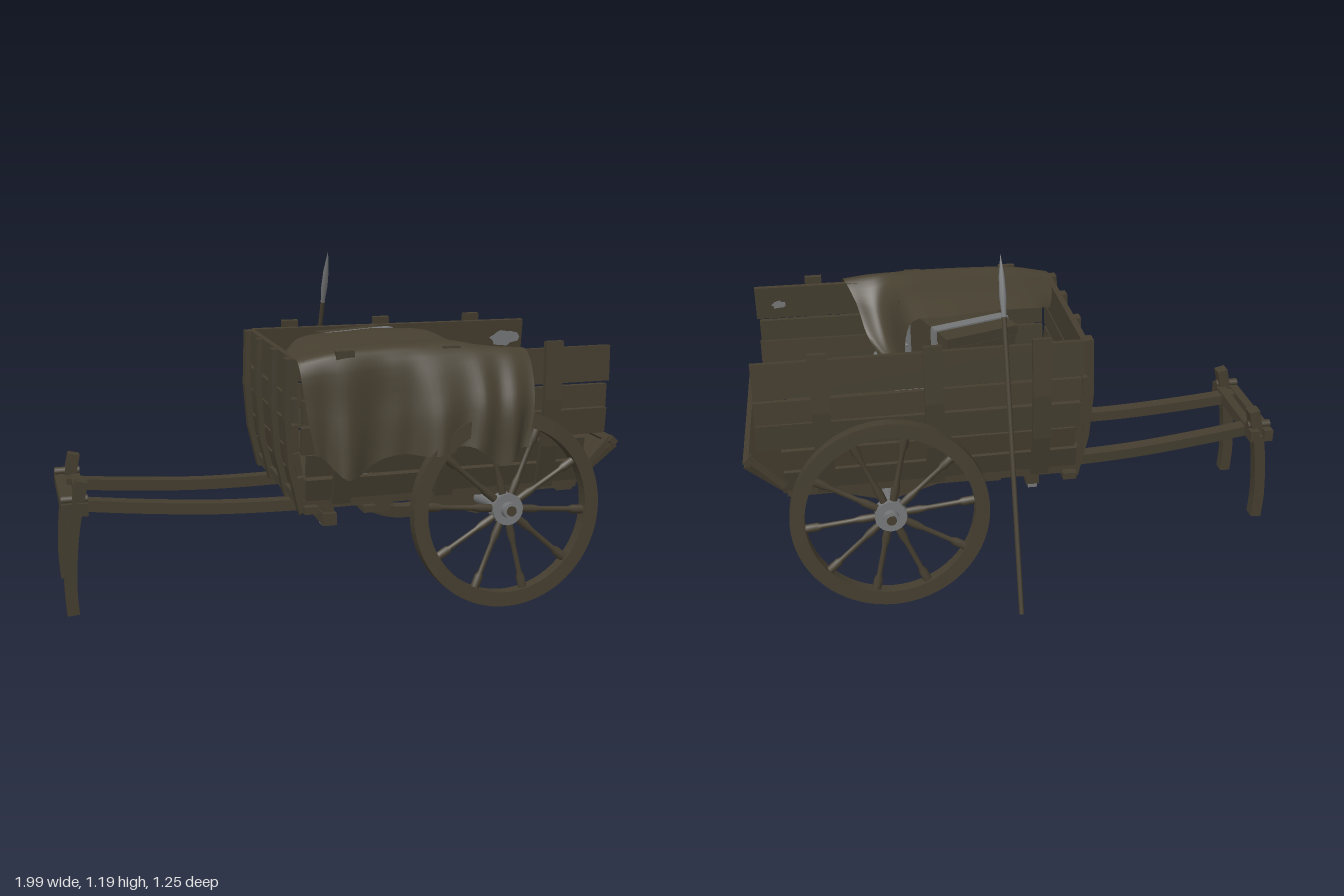
import * as THREE from 'three';

const mat = (name, color, side = THREE.FrontSide) => {
  const m = new THREE.MeshStandardMaterial({ color, side });
  m.name = name;
  return m;
};

export function createModel() {
  const wood = mat('weathered wood', 0x443d2f);
  const iron = mat('grey iron', 0x747576);
  const canvas = mat('canvas', 0x474031, THREE.DoubleSide);
  const cart = new THREE.Group();
  cart.name = 'cart';
  const MID = 0.07; // centre line of the cart body in z

  let seed = 7;
  const jitter = (a) => {
    seed = (seed * 16807) % 2147483647;
    return (seed / 2147483647 - 0.5) * 2 * a;
  };
  const add = (parent, name, geo, material, x = 0, y = 0, z = 0) => {
    const m = new THREE.Mesh(geo, material);
    m.name = name;
    m.position.set(x, y, z);
    parent.add(m);
    return m;
  };
  const box = (parent, name, w, h, d, x, y, z, material = wood) =>
    add(parent, name, new THREE.BoxGeometry(w, h, d), material, x, y, z);
  const group = (name, parent = cart) => {
    const g = new THREE.Group();
    g.name = name;
    parent.add(g);
    return g;
  };

  // Bent timber: a strip of even thickness along a path in xy, extruded in z
  const bentBar = (path, thick, depth) => {
    const pts = path.map((p) => new THREE.Vector2(...p));
    const side = (s) => pts.map((p, i) => {
      const t = pts[Math.min(i + 1, pts.length - 1)].clone().sub(pts[Math.max(i - 1, 0)]).normalize();
      return new THREE.Vector2(p.x - t.y * s, p.y + t.x * s);
    });
    const shape = new THREE.Shape([...side(thick / 2), ...side(-thick / 2).reverse()]);
    return new THREE.ExtrudeGeometry(shape, { depth, bevelEnabled: false }).translate(0, 0, -depth / 2);
  };
  const smoothPath = (path, n) =>
    new THREE.SplineCurve(path.map((p) => new THREE.Vector2(...p))).getPoints(n).map((p) => [p.x, p.y]);

  // Floor boards running across the body, with one open gap near the tail
  const floor = group('floor');
  const edges = [-0.2, -0.055, 0.09, 0.235, 0.38, 0.525, 0.665];
  for (let i = 0; i < 6; i++)
    box(floor, 'floorBoard', edges[i + 1] - edges[i], 0.025, 0.66 + jitter(0.01), (edges[i] + edges[i + 1]) / 2, 0.385 + jitter(0.003), MID);
  box(floor, 'floorBoard', 0.2, 0.025, 0.66, 0.775, 0.385, MID);
  for (const z of [-0.25, 0.39]) box(floor, 'sill', 1.04, 0.03, 0.035, 0.34, 0.375, z);
  box(floor, 'endSill', 0.05, 0.025, 0.74, -0.16, 0.362, MID);

  // Bulging plank walls; local z points outward
  const bulge = [[0.325, 0.37], [0.362, 0.53], [0.375, 0.7], [0.368, 0.91]];
  const outAt = (y) => {
    let i = 0;
    while (i < 2 && y > bulge[i + 1][1]) i++;
    const [[a, ya], [b, yb]] = [bulge[i], bulge[i + 1]];
    return a + ((b - a) * (y - ya)) / (yb - ya);
  };
  const rows = [[0.39, 0.47], [0.48, 0.56], [0.567, 0.662], [0.67, 0.752], [0.762, 0.89]];
  const wall = (name, angle, cx, shift, lean, x0, x1, cut, posts, postWidth, rise) => {
    const g = group(name);
    g.rotation.y = angle;
    g.position.set(cx, 0, MID);
    const out = (y) => outAt(y) + shift - lean * (y - 0.37);
    rows.forEach(([a, b], i) => {
      const l = x0 + (i < 2 ? cut[0] : 0) + jitter(0.008);
      const r = x1 - (i < 2 ? cut[1] : 0) + jitter(0.008);
      const p = box(g, 'plank', r - l, b - a, 0.022, (l + r) / 2, (a + b) / 2, (out(a) + out(b)) / 2);
      p.rotation.x = Math.atan2(out(b) - out(a), b - a);
      p.rotation.z = jitter(0.006);
    });
    const rib = bulge.map(([, y]) => [out(y) + 0.021, y + rise]);
    for (const x of posts) add(g, 'post', bentBar(rib, 0.022, postWidth).rotateY(-Math.PI / 2), wood, x);
  };
  wall('leftWall', 0, 0, 0, 0, -0.2, 0.945, [0.02, 0.08], [-0.05, 0.33, 0.72], 0.065, 0.008);
  wall('rightWall', Math.PI, 0, 0, 0.05, -0.945, 0.2, [0.08, 0.02], [0.05, -0.33, -0.72], 0.065, 0.008);
  wall('endWall', -Math.PI / 2, 0, -0.16, 0, -0.35, 0.35, [0.02, 0.02], [-0.32, -0.12, 0.12, 0.32], 0.045, -0.02);

  // Tailboard, dropped open on a slant and wider at its lip
  const tail = group('tailboard');
  const tailShape = new THREE.Shape([[-0.33, 0], [0.33, 0], [0.38, 0.2], [-0.38, 0.2]].map((p) => new THREE.Vector2(...p)));
  const board = add(tail, 'tailPanel',
    new THREE.ExtrudeGeometry(tailShape, { depth: 0.022, bevelEnabled: false }).rotateY(Math.PI / 2), wood, 0.845, 0.383, MID);
  board.rotation.z = -0.75;
  box(tail, 'tailLip', 0.03, 0.025, 0.77, 0.98, 0.535, MID).rotation.z = -0.75;
  for (const z of [-0.29, 0.43]) box(tail, 'tailCleat', 0.17, 0.025, 0.03, 0.92, 0.485, z).rotation.z = 0.82;

  // Long shafts that sag between body and yoke and converge toward the yoke
  const shaftPath = smoothPath([[-0.97, 0.385], [-0.7, 0.355], [-0.4, 0.333], [0, 0.33], [0.45, 0.34], [0.88, 0.39]], 24);
  for (const s of [-1, 1]) {
    const geo = bentBar(shaftPath, 0.04, 0.05);
    const p = geo.attributes.position;
    for (let i = 0; i < p.count; i++)
      p.setZ(i, p.getZ(i) + s * (0.135 + 0.04 * Math.min(1, (p.getX(i) + 0.95) / 0.85)));
    geo.computeVertexNormals();
    add(cart, 'shaft', geo, wood, 0, 0, MID - 0.01);
  }

  // Yoke and its two bowed legs
  const yoke = group('yoke');
  for (const x of [-0.975, -0.92]) box(yoke, 'yokeBeam', 0.035, 0.045, 0.46, x, 0.385, 0.06);
  box(yoke, 'yokeCap', 0.07, 0.02, 0.44, -0.95, 0.37, 0.06);
  const legPath = smoothPath([[-0.968, 0.005], [-0.972, 0.12], [-0.957, 0.3], [-0.92, 0.48]], 10);
  for (const z of [-0.12, 0.255]) {
    add(yoke, 'leg', bentBar(legPath, 0.042, 0.048), wood, 0, 0, z);
    const pin = add(yoke, 'yokePin', new THREE.CylinderGeometry(0.016, 0.016, 0.09, 10), wood, -0.947, 0.415, z);
    pin.rotation.z = Math.PI / 2;
  }

  // Bearers, spring blocks and cross timbers under the floor
  const under = group('undercarriage');
  box(under, 'frontBolster', 0.05, 0.045, 0.435, -0.05, 0.273, MID);
  box(under, 'frontSpacer', 0.04, 0.03, 0.4, -0.05, 0.3, MID);
  box(under, 'underBoard', 0.1, 0.025, 0.36, 0.14, 0.287, MID);
  for (const x of [0.12, 0.82]) box(under, 'crossTimber', 0.06, 0.03, 0.66, x, 0.362, MID);
  for (const z of [-0.18, 0.32])
    add(under, 'springBlock', bentBar([[0.3, 0.365], [0.42, 0.33], [0.5, 0.305], [0.58, 0.33], [0.7, 0.365]], 0.08, 0.035), wood, 0, 0, z);
  for (const z of [-0.11, 0.24]) {
    box(under, 'axleBlock', 0.1, 0.09, 0.06, 0.5, 0.34, z);
    box(under, 'ironCleat', 0.035, 0.012, 0.04, -0.05, 0.244, z - 0.02, iron);
  }

  // Axle with upturned ends
  const axlePath = new THREE.CatmullRomCurve3(
    [[0.62, 0.358], [0.45, 0.342], [0.3, 0.322], [0.07, 0.32], [-0.17, 0.322], [-0.32, 0.342], [-0.49, 0.358]]
      .map(([z, y]) => new THREE.Vector3(0.505, y, z)));
  add(cart, 'axle', new THREE.TubeGeometry(axlePath, 24, 0.021, 10), iron);

  // Dished wheels leaning inward at the top
  const disc = (r, len, n = 20) => new THREE.CylinderGeometry(r, r, len, n).rotateX(Math.PI / 2);
  const ring = new THREE.Shape().absarc(0, 0, 0.347, 0, Math.PI * 2, false);
  ring.holes.push(new THREE.Path().absarc(0, 0, 0.296, 0, Math.PI * 2, true));
  const rimGeo = new THREE.ExtrudeGeometry(ring, { depth: 0.046, bevelEnabled: false, curveSegments: 36 }).translate(0, 0, -0.023);
  const spokeGeo = new THREE.LatheGeometry(
    [[0.013, 0.04], [0.015, 0.1], [0.0095, 0.13], [0.0095, 0.24], [0.016, 0.255], [0.016, 0.3]].map((p) => new THREE.Vector2(...p)), 8);
  const wheel = (name, z, lean) => {
    const w = group(name);
    w.position.set(0.507, 0.353, z);
    w.rotation.x = lean;
    add(w, 'rim', rimGeo, wood);
    for (let i = 0; i < 10; i++) add(w, 'spoke', spokeGeo, wood).rotation.z = (i + 0.35) * Math.PI / 5;
    add(w, 'hub', disc(0.056, 0.046), iron);
    add(w, 'hubCollar', disc(0.028, 0.1), iron);
    add(w, 'hubCap', disc(0.018, 0.106, 12), wood);
  };
  wheel('leftWheel', 0.565, -0.08);
  wheel('rightWheel', -0.433, 0.09);

  // Iron-banded crates
  const crate = (name, x, z, turn, w, d, top, bands) => {
    const g = group(name);
    g.position.set(x, 0, z);
    g.rotation.y = turn;
    const h = top - 0.398;
    box(g, 'crateBody', w, h - 0.04, d, 0, 0.398 + (h - 0.04) / 2, 0);
    box(g, 'crateLid', w + 0.012, 0.036, d + 0.012, 0, top - 0.018, 0);
    for (const b of bands) {
      box(g, 'topBand', w + 0.02, 0.008, 0.042, 0, top + 0.002, b, iron);
      for (const s of [-1, 1]) {
        box(g, 'sideBand', 0.008, h, 0.042, s * (w / 2 + 0.008), top - h / 2, b, iron);
        for (const y of [0.07, 0.15])
          add(g, 'rivet', new THREE.SphereGeometry(0.007, 8, 6), iron, s * (w / 2 + 0.012), top - y, b);
      }
    }
  };
  crate('tallCrate', 0.205, 0.04, 0.33, 0.27, 0.41, 0.898, [-0.11, 0.13]);
  crate('lowCrate', 0.39, 0.08, -0.22, 0.28, 0.5, 0.66, [-0.155, 0.13]);

  // Spear leaning on the right wall
  const spear = group('spear');
  spear.position.set(0.075, 0.005, -0.615);
  spear.rotation.x = Math.atan2(0.437, 1.185);
  add(spear, 'spearShaft', new THREE.CylinderGeometry(0.009, 0.009, 1.05, 8), wood, 0, 0.525, 0);
  const blade = new THREE.LatheGeometry(
    [[0.011, 1.0], [0.012, 1.07], [0.017, 1.12], [0.014, 1.19], [0, 1.268]].map((p) => new THREE.Vector2(...p)), 8);
  add(spear, 'spearHead', blade.scale(0.75, 1, 0.6), iron);

  // Canvas sheet: sections from the inner edge over the wall to the outer hem
  const sections = [
    [[-0.16, 0.87, 0.1], [-0.19, 0.885, 0.22], [-0.21, 0.89, 0.35], [-0.21, 0.88, 0.455], [-0.19, 0.72, 0.478], [-0.16, 0.55, 0.48]],
    [[-0.09, 0.9, 0.03], [-0.09, 0.91, 0.18], [-0.08, 0.91, 0.33], [-0.07, 0.905, 0.462], [-0.06, 0.72, 0.5], [-0.06, 0.51, 0.52]],
    [[0.1, 0.912, 0], [0.1, 0.925, 0.15], [0.09, 0.92, 0.32], [0.09, 0.912, 0.462], [0.1, 0.72, 0.49], [0.1, 0.53, 0.49]],
    [[0.25, 0.912, -0.03], [0.25, 0.93, 0.15], [0.24, 0.92, 0.32], [0.22, 0.915, 0.465], [0.24, 0.74, 0.54], [0.24, 0.58, 0.56]],
    [[0.37, 0.89, 0], [0.385, 0.912, 0.13], [0.39, 0.91, 0.3], [0.38, 0.915, 0.465], [0.4, 0.75, 0.555], [0.38, 0.56, 0.572]],
    [[0.42, 0.68, 0.08], [0.45, 0.71, 0.2], [0.48, 0.81, 0.34], [0.5, 0.91, 0.465], [0.5, 0.75, 0.565], [0.5, 0.53, 0.575]],
    [[0.49, 0.67, 0.2], [0.53, 0.74, 0.27], [0.56, 0.83, 0.37], [0.605, 0.9, 0.46], [0.605, 0.75, 0.56], [0.585, 0.55, 0.572]],
  ];
  const curve = (pts) => new THREE.CatmullRomCurve3(pts, false, 'centripetal');
  const NU = 48, NV = 28;
  const runs = sections.map((s) => curve(s.map((p) => new THREE.Vector3(...p))).getPoints(NV));
  const sheet = new THREE.PlaneGeometry(1, 1, NU, NV);
  for (let j = 0; j <= NV; j++) {
    curve(runs.map((r) => r[j])).getPoints(NU).forEach((p, i) => {
      const hang = Math.max(0, j / NV - 0.62); // folds deepen toward the hem
      p.z += hang * 0.035 * Math.sin(i * 0.75 + j * 0.06);
      p.y += hang * 0.06 * Math.sin(i * 0.42 + 1);
      sheet.attributes.position.setXYZ(j * (NU + 1) + i, p.x, p.y, p.z);
    });
  }
  sheet.computeVertexNormals();
  add(cart, 'canvasSheet', sheet, canvas);

  // Bare grey patches on the floor and the inner wall planks
  const patch = (rx, ry) => {
    const pts = [];
    for (let i = 0; i < 14; i++) {
      const a = (i / 14) * Math.PI * 2, k = 1 + jitter(0.25);
      pts.push(new THREE.Vector2(Math.cos(a) * rx * k, Math.sin(a) * ry * k));
    }
    return new THREE.ExtrudeGeometry(new THREE.Shape(pts), { depth: 0.005, bevelEnabled: false });
  };
  for (const [x, z, rx, rz] of [[0.765, -0.075, 0.03, 0.022], [0.735, -0.13, 0.022, 0.022], [0.745, 0.28, 0.034, 0.035]])
    add(cart, 'floorPatch', patch(rx, rz).rotateX(-Math.PI / 2), iron, x, 0.398, z);
  add(cart, 'wallPatch', patch(0.06, 0.034), iron, 0.86, 0.815, -0.268);
  add(cart, 'wallPatch', patch(0.025, 0.016), iron, 0.5, 0.84, -0.268);
  add(cart, 'wallPatch', patch(0.025, 0.016), iron, 0.86, 0.82, 0.424);

  return cart;
}
